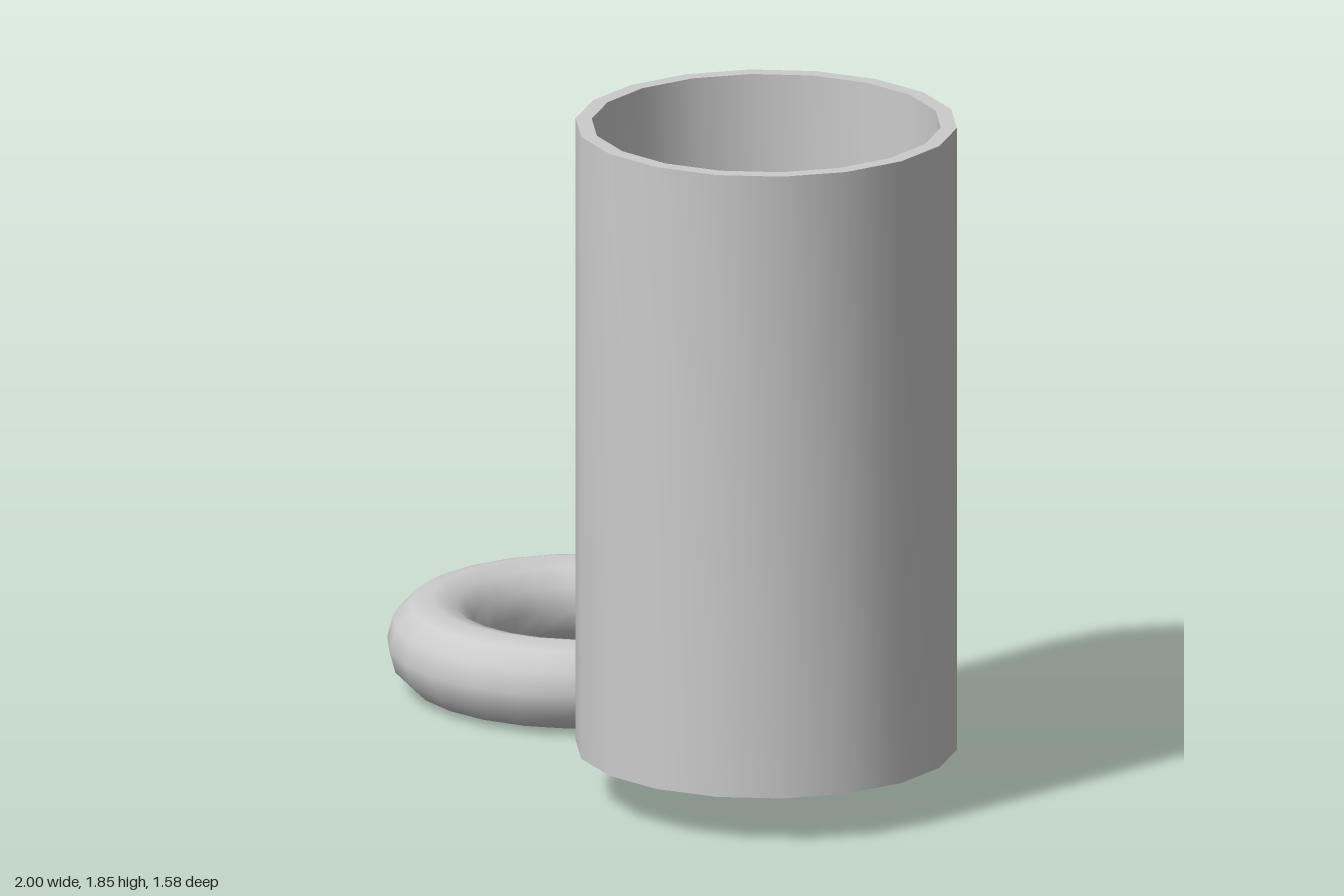
import * as THREE from 'three';
import { toCreasedNormals } from 'three/addons/utils/BufferGeometryUtils.js';

export function createModel() {
  const model = new THREE.Group();
  const material = new THREE.MeshStandardMaterial({ color: 0xcccccc });

  // Open pipe: closed wall profile turned around y, with sharp rims
  const outer = 0.508, inner = 0.465, bottom = 0.13, top = 1.85;
  const profile = [
    [outer, bottom], [outer, top], [inner, top], [inner, bottom], [outer, bottom],
  ].map(([r, y]) => new THREE.Vector2(r, y));
  const pipe = new THREE.Mesh(toCreasedNormals(new THREE.LatheGeometry(profile, 18), 0.6), material);
  pipe.name = 'pipe';
  pipe.position.set(0.5, 0, 0.282);
  model.add(pipe);

  // Ring lying flat on the ground
  const ringGeometry = new THREE.TorusGeometry(0.406, 0.122, 12, 24);
  ringGeometry.rotateX(-Math.PI / 2);
  const ring = new THREE.Mesh(ringGeometry, material);
  ring.name = 'ring';
  ring.position.set(-0.472, 0.122, -0.263);
  model.add(ring);

  return model;
}
